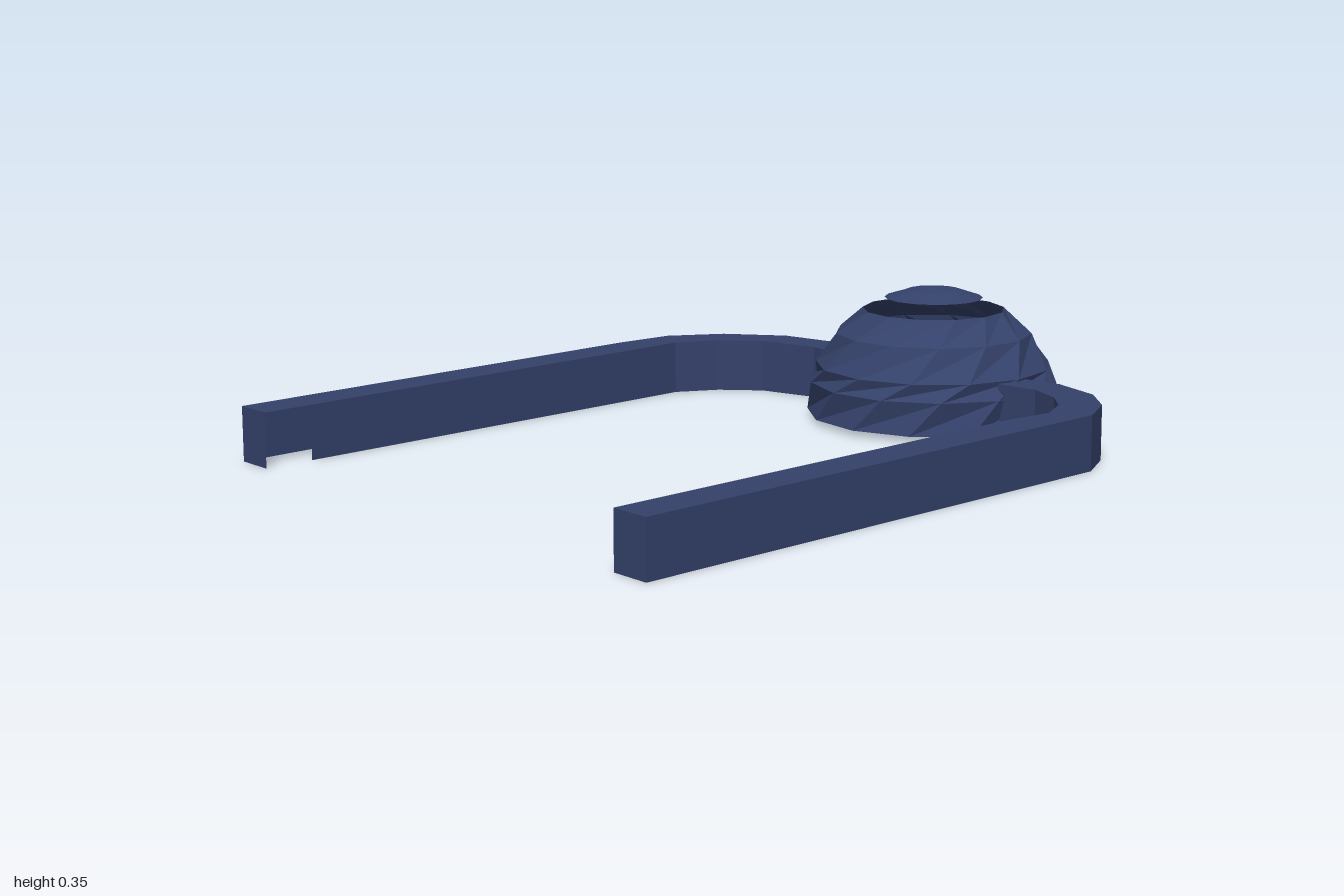
import * as THREE from 'three';

const navy = new THREE.MeshStandardMaterial({ color: 0x34416a, side: THREE.DoubleSide });
navy.name = 'navy';

// Strip of flat quads between two rows of points
function strip(rowA, rowB) {
  const pos = [];
  for (let i = 0; i < rowA.length - 1; i++) {
    pos.push(...rowA[i], ...rowA[i + 1], ...rowB[i + 1]);
    pos.push(...rowA[i], ...rowB[i + 1], ...rowB[i]);
  }
  const geo = new THREE.BufferGeometry();
  geo.setAttribute('position', new THREE.Float32BufferAttribute(pos, 3));
  geo.computeVertexNormals();
  return geo;
}

function add(group, name, geo) {
  const mesh = new THREE.Mesh(geo, navy);
  mesh.name = name;
  group.add(mesh);
}

// Open-bottomed channel following [x, z] outlines; flip mirrors the winding
const HEIGHT = 0.14, NOTCH = 0.135;
function makeArm(name, outer, inner, flip) {
  const arm = new THREE.Group();
  arm.name = name;
  const at = (line, y) => line.map(([x, z]) => [x, y, z]);
  const face = (a, b, turn) => (turn ? strip(b, a) : strip(a, b));
  const wall = (line, turn) => face(at(line, 0), at(line, HEIGHT), turn);

  // The inner wall stops short of the tip
  const [a, b] = inner;
  const start = [a[0] + NOTCH, a[1] + (b[1] - a[1]) * NOTCH / (b[0] - a[0])];

  add(arm, name + 'Top', face(at(outer, HEIGHT), at(inner, HEIGHT), flip));
  add(arm, name + 'OuterWall', wall(outer, flip));
  add(arm, name + 'InnerWall', wall([start, ...inner.slice(1)], !flip));
  add(arm, name + 'EndCap', wall([inner[0], outer[0]], flip));
  return arm;
}

// Faceted shell of revolution from [radius, y] rings, each turned half a step
function makeShell(name, rings, sides) {
  const shell = new THREE.Group();
  shell.name = name;
  const loops = rings.map(([r, y], k) => Array.from({ length: sides + 1 }, (_, i) => {
    const a = ((i % sides) + k / 2) / sides * Math.PI * 2;
    return [0.664 + r * Math.sin(a), y, 0.007 + r * Math.cos(a)];
  }));
  for (let k = 0; k < loops.length - 1; k++) {
    add(shell, name + 'Band' + (k + 1), strip(loops[k], loops[k + 1]));
  }
  return shell;
}

export function createModel() {
  const model = new THREE.Group();
  model.name = 'domeWithArms';

  // Hollow dome with an open top, and a shallow cap floating above it
  model.add(makeShell('dome', [[0.334, 0.014], [0.327, 0.1], [0.312, 0.145], [0.26, 0.23], [0.188, 0.292]], 13));
  model.add(makeShell('cap', [[0.13, 0.322], [0.07, 0.342], [0, 0.35]], 16));

  // Arms bending into the dome
  model.add(makeArm('frontArm',
    [[-0.967, 0.795], [0.33, 0.73], [0.49, 0.722], [0.6, 0.657], [0.68, 0.557], [0.717, 0.41], [0.7, 0.305]],
    [[-0.967, 0.688], [0.31, 0.626], [0.43, 0.636], [0.52, 0.586], [0.58, 0.516], [0.615, 0.42], [0.6, 0.305]], false));
  model.add(makeArm('backArm',
    [[-1, -0.732], [0.25, -0.795], [0.41, -0.79], [0.55, -0.71], [0.663, -0.57], [0.702, -0.39], [0.7, -0.295]],
    [[-1, -0.627], [0.24, -0.688], [0.36, -0.694], [0.47, -0.64], [0.556, -0.55], [0.602, -0.39], [0.59, -0.295]], true));
  return model;
}
